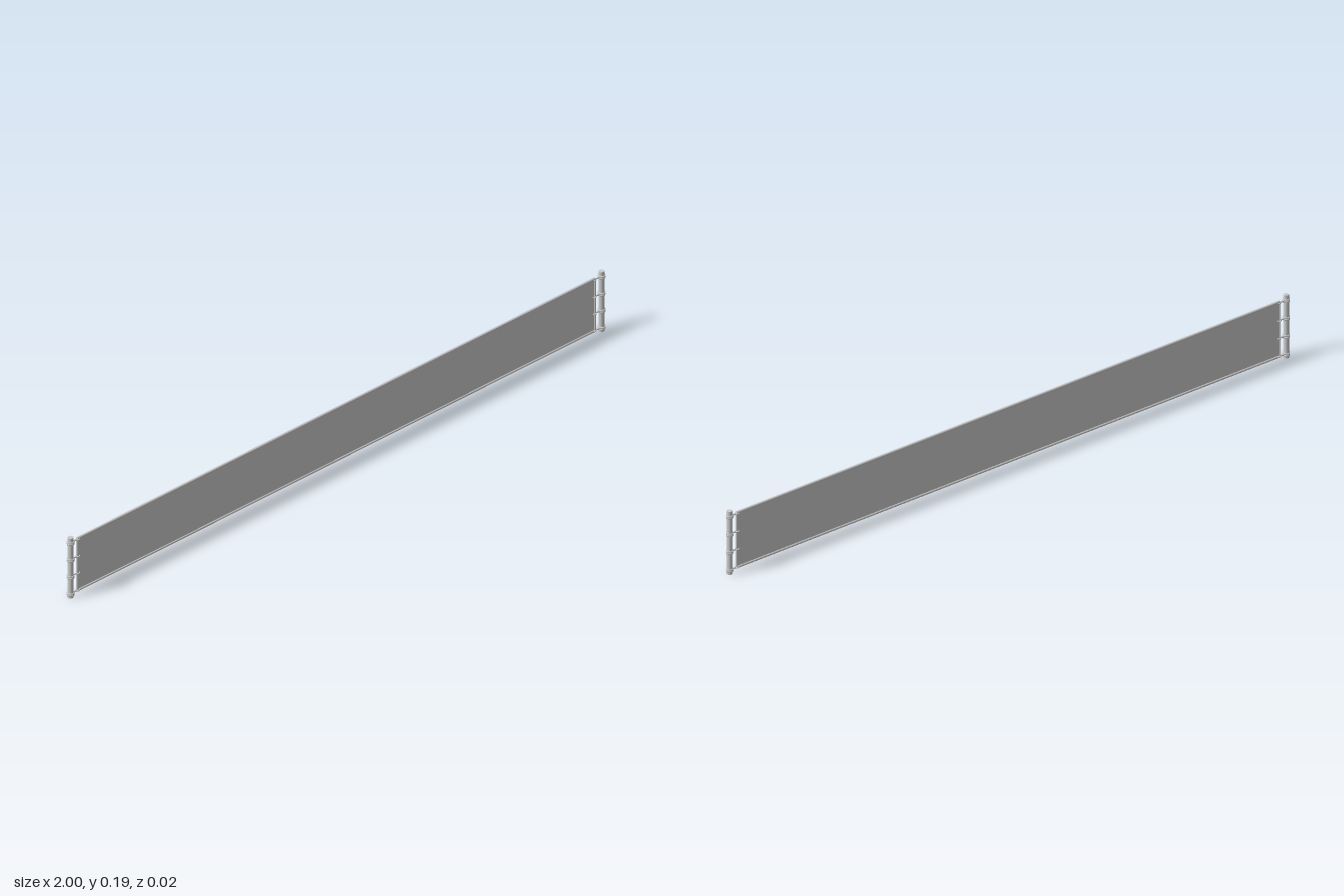
import * as THREE from 'three';

const POST_X = 0.989, EDGE_X = 0.964, TOP = 0.181, BOTTOM = 0.012;
const RING_HEIGHTS = [0.012, 0.068, 0.123, 0.178];

export function createModel() {
  const group = new THREE.Group();
  const material = new THREE.MeshStandardMaterial({ color: 0xcccccc });

  const add = (parent, name, geometry, x, y, z = 0) => {
    const mesh = new THREE.Mesh(geometry, material);
    mesh.name = name;
    mesh.position.set(x, y, z);
    parent.add(mesh);
    return mesh;
  };
  const rod = (radius, length) => new THREE.CylinderGeometry(radius, radius, length, 16);

  // Long thin sheet
  const height = TOP - BOTTOM, middle = (TOP + BOTTOM) / 2;
  add(group, 'sheet', new THREE.BoxGeometry(EDGE_X * 2, height, 0.002), 0, middle);

  // Rounded hems along the top and bottom
  for (const [name, y] of [['topHem', TOP], ['bottomHem', BOTTOM]]) {
    add(group, name, rod(0.004, EDGE_X * 2), 0, y).rotation.z = Math.PI / 2;
  }

  // Collar with two raised bands, wrapped around a post
  const collarProfile = [
    [0.0075, -0.0045], [0.0105, -0.0045], [0.0105, -0.0015], [0.009, -0.001],
    [0.009, 0.001], [0.0105, 0.0015], [0.0105, 0.0045], [0.0075, 0.0045],
  ].map(([r, y]) => new THREE.Vector2(r, y));
  const collar = new THREE.LatheGeometry(collarProfile, 20);

  for (const side of [-1, 1]) {
    const end = new THREE.Group();
    end.name = side > 0 ? 'leftEnd' : 'rightEnd';
    group.add(end);

    // Post and the sheet's side hem
    add(end, 'post', rod(0.008, 0.195), side * POST_X, 0.0975);
    add(end, 'sideHem', rod(0.003, height), side * EDGE_X, middle);

    // Collars tied to the edge of the sheet by short links and eyelets
    for (const y of RING_HEIGHTS) {
      add(end, 'collar', collar, side * POST_X, y);
      const link = add(end, 'link', rod(0.0025, 0.02), side * 0.973, y);
      link.rotation.z = Math.PI / 2;
      const eyelet = add(end, 'eyelet', new THREE.TorusGeometry(0.005, 0.0018, 8, 16), side * 0.962, y);
      eyelet.rotation.x = Math.PI / 2;
    }
  }
  return group;
}
